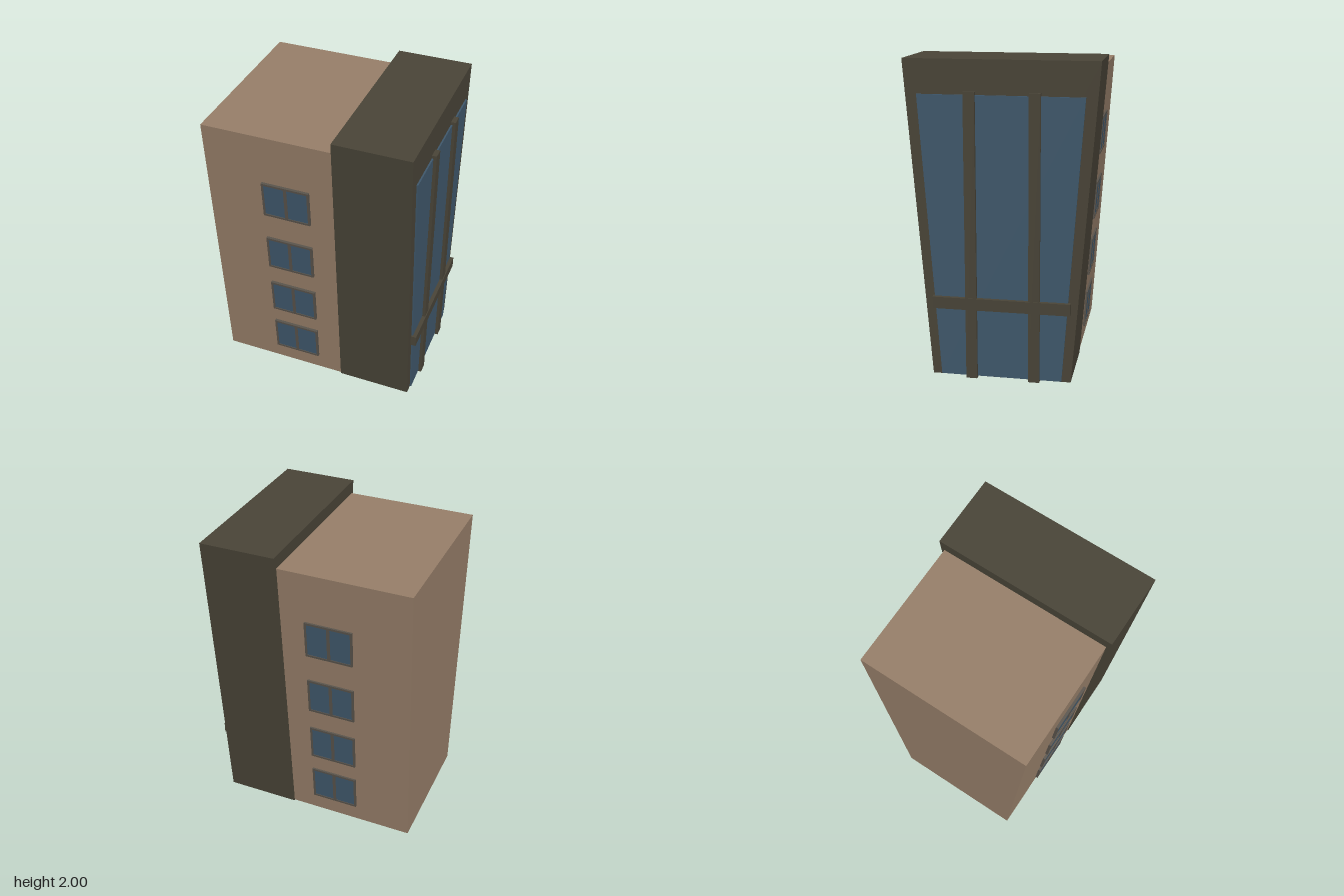
import * as THREE from 'three';

const material = (color) => new THREE.MeshStandardMaterial({ color, flatShading: true });
const brick = material(0x98806a);
const dark = material(0x4a4538);
const glass = material(0x40596d);
const frameGrey = material(0x5a544c);

function add(parent, name, geometry, mat, x = 0, y = 0, z = 0) {
  const mesh = new THREE.Mesh(geometry, mat);
  mesh.name = name;
  mesh.position.set(x, y, z);
  parent.add(mesh);
  return mesh;
}

// Block between two x planes whose depth grows from bottom to top
function flaredBlock(x0, x1, y0, y1, halfBottom, halfTop) {
  const geo = new THREE.BoxGeometry(x1 - x0, y1 - y0, 2);
  geo.translate((x0 + x1) / 2, (y0 + y1) / 2, 0);
  const pos = geo.attributes.position;
  for (let i = 0; i < pos.count; i++) {
    const t = (pos.getY(i) - y0) / (y1 - y0);
    pos.setZ(i, pos.getZ(i) * THREE.MathUtils.lerp(halfBottom, halfTop, t));
  }
  geo.computeVertexNormals();
  return geo;
}

function rectangle(PathType, x0, y0, x1, y1) {
  return new PathType([[x0, y0], [x1, y0], [x1, y1], [x0, y1]].map((p) => new THREE.Vector2(...p)));
}

// Two-pane window, centred on its own origin and facing +z
function createWindow() {
  const group = new THREE.Group();
  group.name = 'window';
  const shape = rectangle(THREE.Shape, -0.155, -0.125, 0.155, 0.125);
  for (const s of [-1, 1]) {
    shape.holes.push(rectangle(THREE.Path, s * 0.076 - 0.066, -0.111, s * 0.076 + 0.066, 0.111));
    add(group, 'windowPane', new THREE.BoxGeometry(0.134, 0.224, 0.02), glass, s * 0.076, 0, -0.014);
  }
  const frame = new THREE.ExtrudeGeometry(shape, { depth: 0.04, bevelEnabled: false });
  add(group, 'windowFrame', frame, frameGrey, 0, 0, -0.04);
  return group;
}

export function createModel() {
  const model = new THREE.Group();
  model.name = 'building';

  // Main block
  const base = 0.01, roof = 1.92, halfBase = 0.435, halfRoof = 0.565;
  add(model, 'mainBlock', flaredBlock(-0.68, 0.17, base, roof, halfBase, halfRoof), brick);

  // Taller dark entrance block
  add(model, 'entranceBlock', flaredBlock(0.16, 0.645, 0.005, 2, 0.44, 0.595), dark);

  // Glazed end wall with its mullions and transom
  add(model, 'curtainGlass', flaredBlock(0.63, 0.655, 0.01, 1.79, 0.382, 0.508), glass);
  for (const z of [0.185, -0.21]) {
    add(model, 'mullion', new THREE.BoxGeometry(0.045, 1.81, 0.07), dark, 0.6525, 0.905, z);
  }
  add(model, 'transom', new THREE.BoxGeometry(0.05, 0.075, 0.865), dark, 0.655, 0.4925, -0.0025);

  // Window columns on the front and back walls, tilted with the walls
  const slope = (halfRoof - halfBase) / (roof - base);
  for (const side of [1, -1]) {
    const column = new THREE.Group();
    column.name = side > 0 ? 'frontWindows' : 'backWindows';
    column.rotation.y = side > 0 ? 0 : Math.PI;
    for (const y of [0.255, 0.625, 1.02, 1.46]) {
      const win = createWindow();
      win.position.set(-0.155 * side, y, halfBase + slope * (y - base) + (side > 0 ? 0.017 : 0.012));
      win.rotation.x = Math.atan(slope);
      column.add(win);
    }
    model.add(column);
  }
  return model;
}
